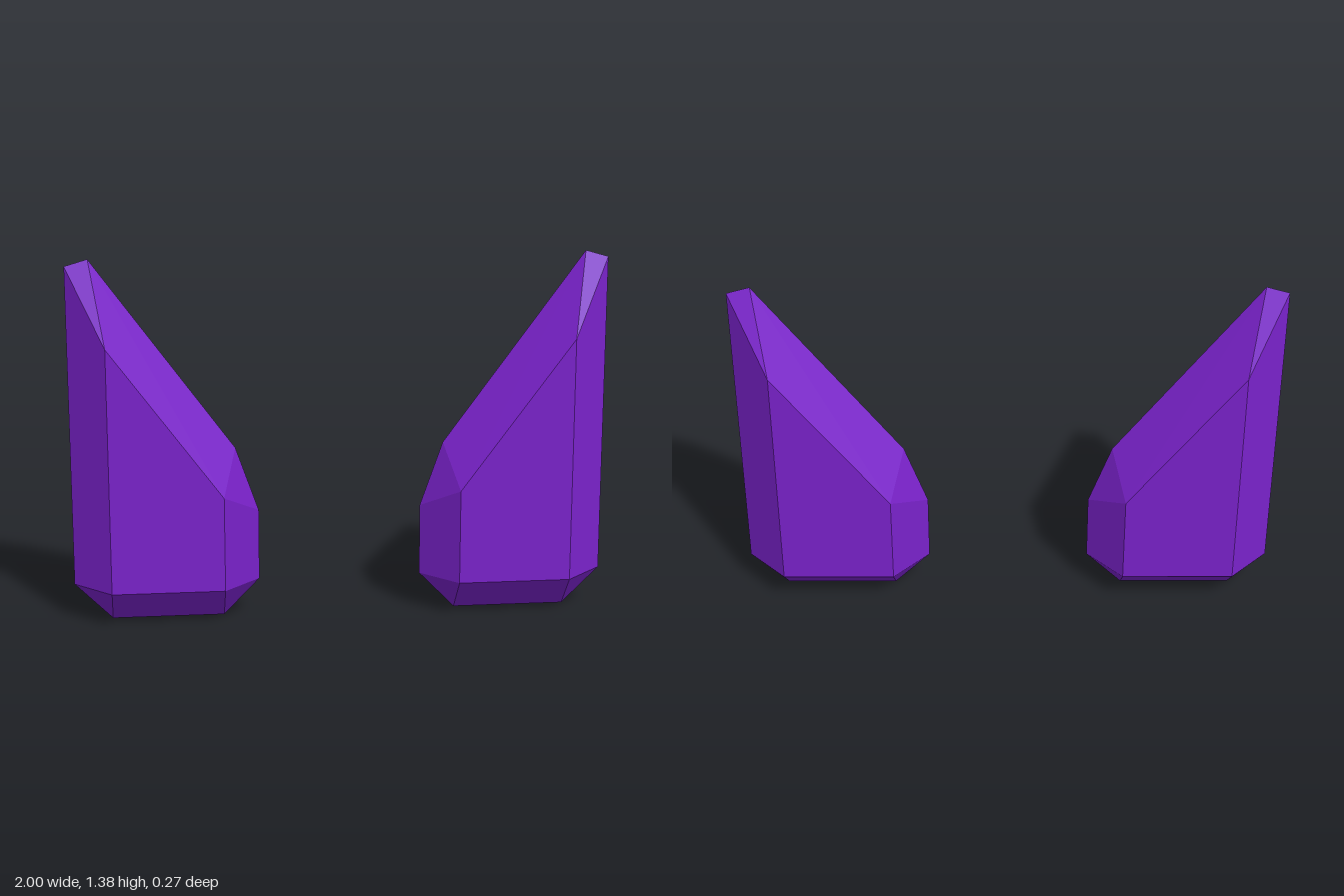
import * as THREE from 'three';
import { ConvexGeometry } from 'three/addons/geometries/ConvexGeometry.js';

// Silhouette of one shard in its middle plane
const RIM = [
  [0.86, 0], [1, 0.14], [1, 1.35], [0.915, 1.375],
  [0.39, 0.655], [0.305, 0.41], [0.305, 0.14], [0.44, 0],
];
// Flat facet on the front and back, set inside the silhouette
const FACET = [[0.44, 0.14], [0.86, 0.14], [0.86, 1.07], [0.44, 0.5]];
const HALF_DEPTH = 0.137;

// Bevelled shard; side is 1 for the left (+x), -1 for the right
function shardGeometry(side) {
  const points = RIM.map(([x, y]) => new THREE.Vector3(side * x, y, 0));
  for (const z of [HALF_DEPTH, -HALF_DEPTH]) {
    for (const [x, y] of FACET) points.push(new THREE.Vector3(side * x, y, z));
  }
  return new ConvexGeometry(points);
}

export function createModel() {
  const model = new THREE.Group();
  model.name = 'crystalShardPair';

  const purple = new THREE.MeshStandardMaterial({ color: 0x7a22cb });
  purple.name = 'purple';

  for (const [name, side] of [['leftShard', 1], ['rightShard', -1]]) {
    const shard = new THREE.Mesh(shardGeometry(side), purple);
    shard.name = name;
    model.add(shard);
  }
  return model;
}
